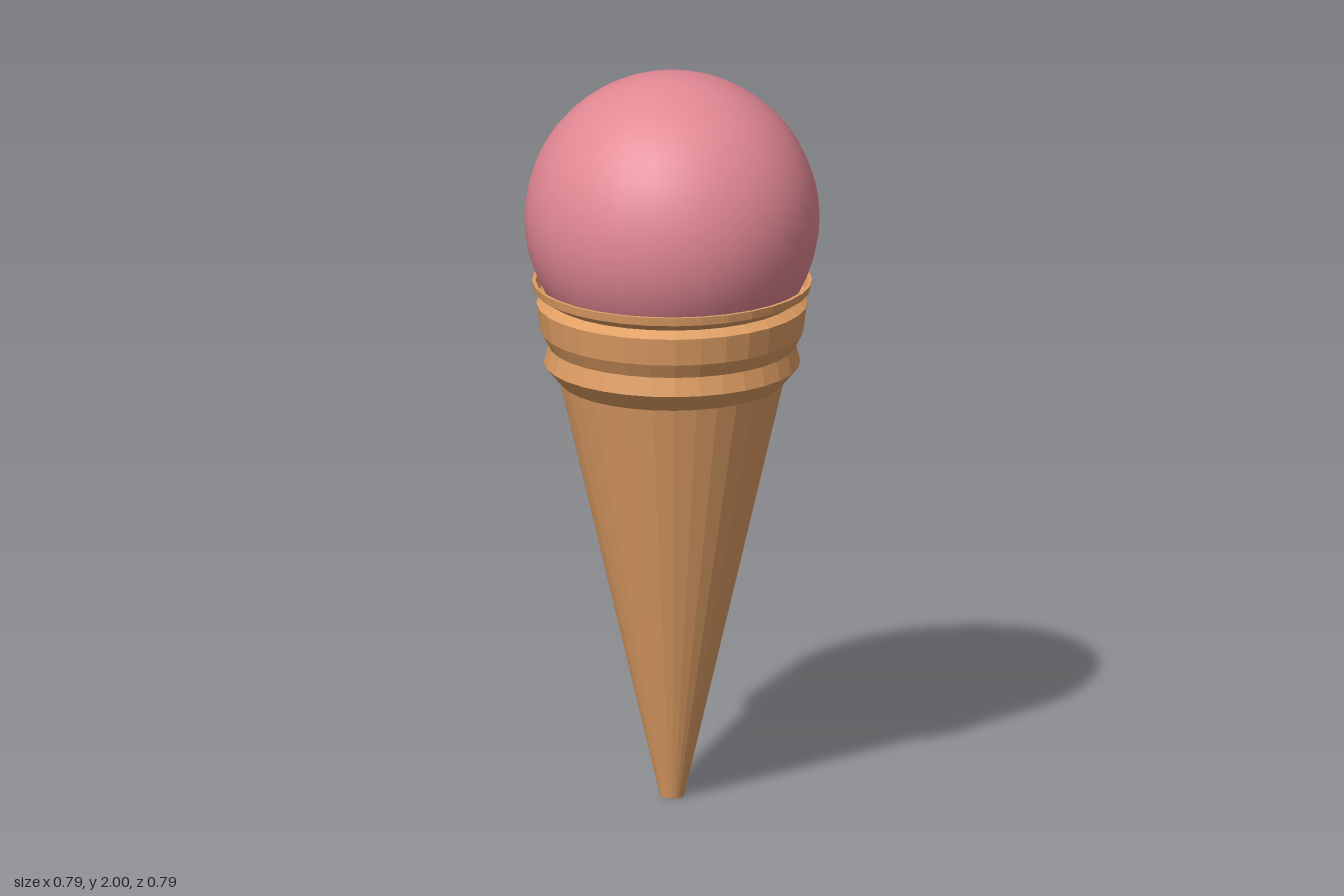
import * as THREE from 'three';

export function createModel() {
  const group = new THREE.Group();
  group.name = 'iceCreamCone';

  const wafer = new THREE.MeshStandardMaterial({ color: 0xdf9e64, flatShading: true });
  wafer.name = 'wafer';
  const pink = new THREE.MeshStandardMaterial({ color: 0xe28894 });
  pink.name = 'strawberry pink';

  // Turns a profile of [radius, height] pairs around the y axis
  const turned = (name, profile) => {
    const points = profile.map(([r, y]) => new THREE.Vector2(r, y));
    const mesh = new THREE.Mesh(new THREE.LatheGeometry(points, 32), wafer);
    mesh.name = name;
    group.add(mesh);
  };

  // Tapered lower cone with a small flat tip
  turned('cone', [[0, 0], [0.032, 0], [0.3, 1.155]]);

  // Flared collar: lower ridge, upper band, groove, lip and inner wall
  turned('collar', [
    [0.3, 1.155], [0.342, 1.205], [0.33, 1.255],
    [0.351, 1.295], [0.362, 1.37], [0.335, 1.388],
    [0.37, 1.41], [0.374, 1.433],
    [0.364, 1.433], [0.352, 1.405], [0.3, 1.385],
  ]);

  // Scoop resting in the collar
  const scoop = new THREE.Mesh(new THREE.SphereGeometry(0.394, 32, 24), pink);
  scoop.name = 'scoop';
  scoop.position.y = 1.606;
  group.add(scoop);

  return group;
}
